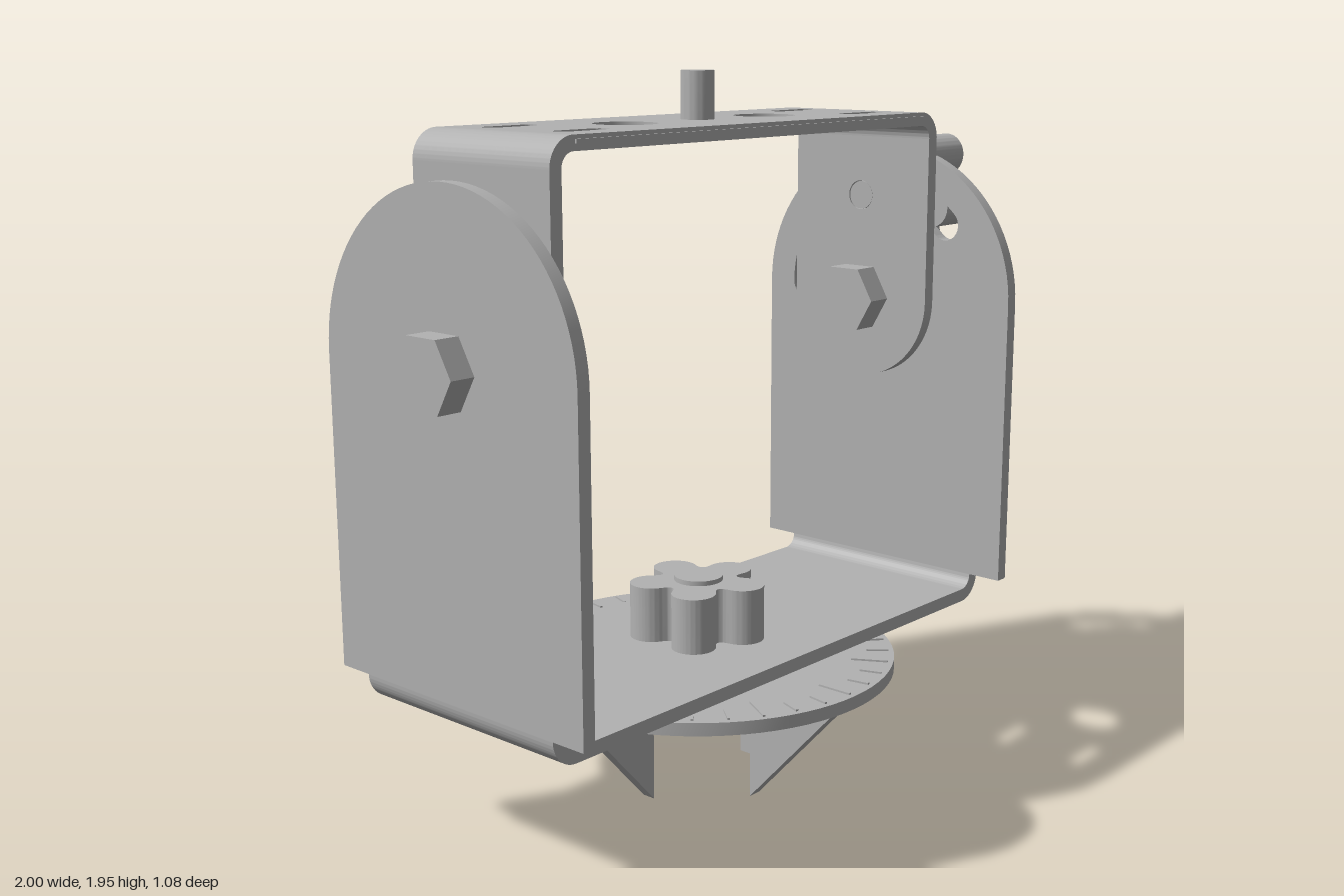
import * as THREE from 'three';
import { toCreasedNormals } from 'three/addons/utils/BufferGeometryUtils.js';

const CX = -0.055;      // vertical axis
const PIVOT = 1.28;     // height of tilt bolts
const KNOB_Y = 1.575;   // height of tilt lock
const PI = Math.PI;

export function createModel() {
  const model = new THREE.Group();
  const steel = new THREE.MeshStandardMaterial({ color: 0xb2b2b2 });
  steel.name = 'steel grey';

  const add = (name, geo, parent = model) => {
    const mesh = new THREE.Mesh(toCreasedNormals(geo, 0.5), steel);
    mesh.name = name;
    parent.add(mesh);
    return mesh;
  };
  const extrude = (shape, depth) =>
    new THREE.ExtrudeGeometry(shape, { depth, bevelEnabled: false, curveSegments: 24 });
  // extrusions along x (shape x becomes -z), y and centred z
  const alongX = (shape, x0, x1) => extrude(shape, x1 - x0).rotateY(PI / 2).translate(x0, 0, 0);
  const alongY = (shape, y0, y1) => extrude(shape, y1 - y0).rotateX(-PI / 2).translate(0, y0, 0);
  const alongZ = (shape, w) => extrude(shape, w).translate(0, 0, -w / 2);
  const rodX = (r, x0, x1, y, sides = 32) =>
    new THREE.CylinderGeometry(r, r, x1 - x0, sides).rotateZ(-PI / 2).translate((x0 + x1) / 2, y, 0);
  const rodY = (r, y0, y1, sides = 40) =>
    new THREE.CylinderGeometry(r, r, y1 - y0, sides).translate(CX, (y0 + y1) / 2, 0);
  const box = (x0, x1, y0, y1, w) =>
    new THREE.BoxGeometry(x1 - x0, y1 - y0, w).translate((x0 + x1) / 2, (y0 + y1) / 2, 0);
  const circle = (x, y, r) => new THREE.Path().absarc(x, y, r, 0, 2 * PI, false);
  const bend = (x, y, a, w) => {
    const s = new THREE.Shape();
    s.absarc(x, y, 0.075, a, a + PI / 2, false);
    s.absarc(x, y, 0.038, a + PI / 2, a, true);
    return alongZ(s, w);
  };

  // outer yoke: strip, bends and round-topped ears
  const yoke = new THREE.Group();
  yoke.name = 'outerYoke';
  model.add(yoke);
  add('yokeBase', box(-0.855, 0.745, 0.385, 0.422, 0.67), yoke);
  add('yokeBendRight', bend(-0.855, 0.46, PI, 0.67), yoke);
  add('yokeBendLeft', bend(0.745, 0.46, 1.5 * PI, 0.67), yoke);
  const earShape = () => {
    const s = new THREE.Shape();
    s.moveTo(-0.435, 0.46);
    s.lineTo(0.435, 0.46);
    s.absarc(0, PIVOT, 0.435, 0, PI, false);
    s.closePath();
    return s;
  };
  add('earRight', alongX(earShape(), -0.93, -0.893), yoke);

  // left ear carries the curved tilt slot and its scale
  const slotted = earShape();
  const R = 0.3, W = 0.045, END = 0.75 * PI;
  const slot = new THREE.Path();
  slot.absarc(0, PIVOT, R + W, 0, END, false);
  slot.absarc(R * Math.cos(END), PIVOT + R * Math.sin(END), W, END, END + PI, false);
  slot.absarc(0, PIVOT, R - W, END, 0, true);
  slot.absarc(R, PIVOT, W, PI, 2 * PI, false);
  slotted.holes.push(slot);
  add('earLeft', alongX(slotted, 0.783, 0.82), yoke);
  for (let i = 0; i <= 18; i++) {
    const len = i % 3 ? 0.035 : 0.06;
    const tick = new THREE.BoxGeometry(0.005, 0.006, len);
    tick.translate(0, 0, -(0.425 - len / 2)).rotateX((i / 18) * END).translate(0.8225, PIVOT, 0);
    add('tiltTick', tick, yoke);
  }

  // inner bracket: top plate with holes, bends and rounded legs
  const bracket = new THREE.Group();
  bracket.name = 'innerBracket';
  model.add(bracket);
  const top = new THREE.Shape();
  top.moveTo(-0.735, -0.235);
  top.lineTo(0.62, -0.235);
  top.lineTo(0.62, 0.235);
  top.lineTo(-0.735, 0.235);
  top.closePath();
  for (const side of [-1, 1]) {
    top.holes.push(circle(CX + side * 0.27, 0, 0.083));
    for (const z of [-0.122, 0.122]) {
      const x = CX + side * 0.543, p = new THREE.Path();
      p.absarc(x + 0.058, z, 0.025, -PI / 2, PI / 2, false);
      p.absarc(x - 0.058, z, 0.025, PI / 2, 1.5 * PI, false);
      p.closePath();
      top.holes.push(p);
    }
  }
  add('bracketTop', alongY(top, 1.783, 1.82), bracket);
  add('bracketBendRight', bend(-0.735, 1.745, PI / 2, 0.47), bracket);
  add('bracketBendLeft', bend(0.62, 1.745, 0, 0.47), bracket);
  const leg = new THREE.Shape();
  leg.moveTo(-0.235, 1.745);
  leg.lineTo(-0.235, PIVOT);
  leg.absarc(0, PIVOT, 0.235, PI, 2 * PI, false);
  leg.lineTo(0.235, 1.745);
  leg.closePath();
  leg.holes.push(circle(0, KNOB_Y, 0.042));
  add('legRight', alongX(leg, -0.81, -0.773), bracket);
  add('legLeft', alongX(leg, 0.658, 0.695), bracket);
  add('frontRidge', box(-0.73, 0.62, 1.8, 1.81, 0.01).translate(0, 0, 0.236), bracket);
  add('topPin', rodY(0.044, 1.79, 1.945), bracket);

  // pivot bolts: [shaft, hex, hex, washer] spans along x
  const bolts = [
    ['pivotBoltRight', [-0.99, -0.605], [-1, -0.93], [-0.773, -0.69], -0.855],
    ['pivotBoltLeft', [0.59, 0.905], [0.58, 0.658], [0.82, 0.895], 0.745],
  ];
  for (const [name, shaft, hexA, hexB, washer] of bolts) {
    const g = new THREE.Group();
    g.name = name;
    model.add(g);
    add('shaft', rodX(0.055, ...shaft, PIVOT), g);
    add('hexHead', rodX(0.102, ...hexA, PIVOT, 6), g);
    add('hexNut', rodX(0.102, ...hexB, PIVOT, 6), g);
    add('washer', rodX(0.107, washer - 0.005, washer + 0.005, PIVOT), g);
  }

  // five-lobed knobs
  const lobed = (cx, cy, start) => {
    const s = new THREE.Shape(), reach = 1.75, step = 0.4 * PI;
    for (let i = 0; i < 5; i++) {
      const a = start + i * step;
      const x = cx + 0.13 * Math.cos(a), y = cy + 0.13 * Math.sin(a);
      s.absarc(x, y, 0.06, a - reach, a + reach, false);
      const b = a + step, v = a + step / 2;
      s.quadraticCurveTo(cx + 0.085 * Math.cos(v), cy + 0.085 * Math.sin(v),
        cx + 0.13 * Math.cos(b) + 0.06 * Math.cos(b - reach),
        cy + 0.13 * Math.sin(b) + 0.06 * Math.sin(b - reach));
    }
    return s;
  };
  add('tiltKnob', alongX(lobed(0, KNOB_Y, -PI / 2), 0.835, 0.982));
  add('tiltKnobCap', rodX(0.067, 0.97, 1, KNOB_Y));
  add('tiltKnobShaft', rodX(0.04, 0.66, 0.85, KNOB_Y));
  add('panKnob', alongY(lobed(CX, 0, 0), 0.42, 0.574));
  add('panKnobCap', rodY(0.067, 0.56, 0.587));

  // turntable with degree scale
  add('panSpacer', rodY(0.19, 0.365, 0.39));
  add('turntable', rodY(0.54, 0.335, 0.37, 80));
  for (let i = 0; i < 36; i++) {
    const len = i % 3 ? 0.06 : 0.1;
    const tick = new THREE.BoxGeometry(len, 0.005, 0.007);
    tick.translate(0.525 - len / 2, 0, 0).rotateY((i * PI) / 18).translate(CX, 0.3725, 0);
    add('panTick', tick);
  }

  // four triangular fins under the turntable
  const fin = new THREE.Shape();
  fin.moveTo(0.205, 0);
  fin.lineTo(0.51, 0.336);
  fin.lineTo(0.205, 0.336);
  fin.closePath();
  for (let i = 0; i < 4; i++) {
    add('fin', alongZ(fin, 0.04).rotateY((i * PI) / 2).translate(CX, 0, 0));
  }
  return model;
}
